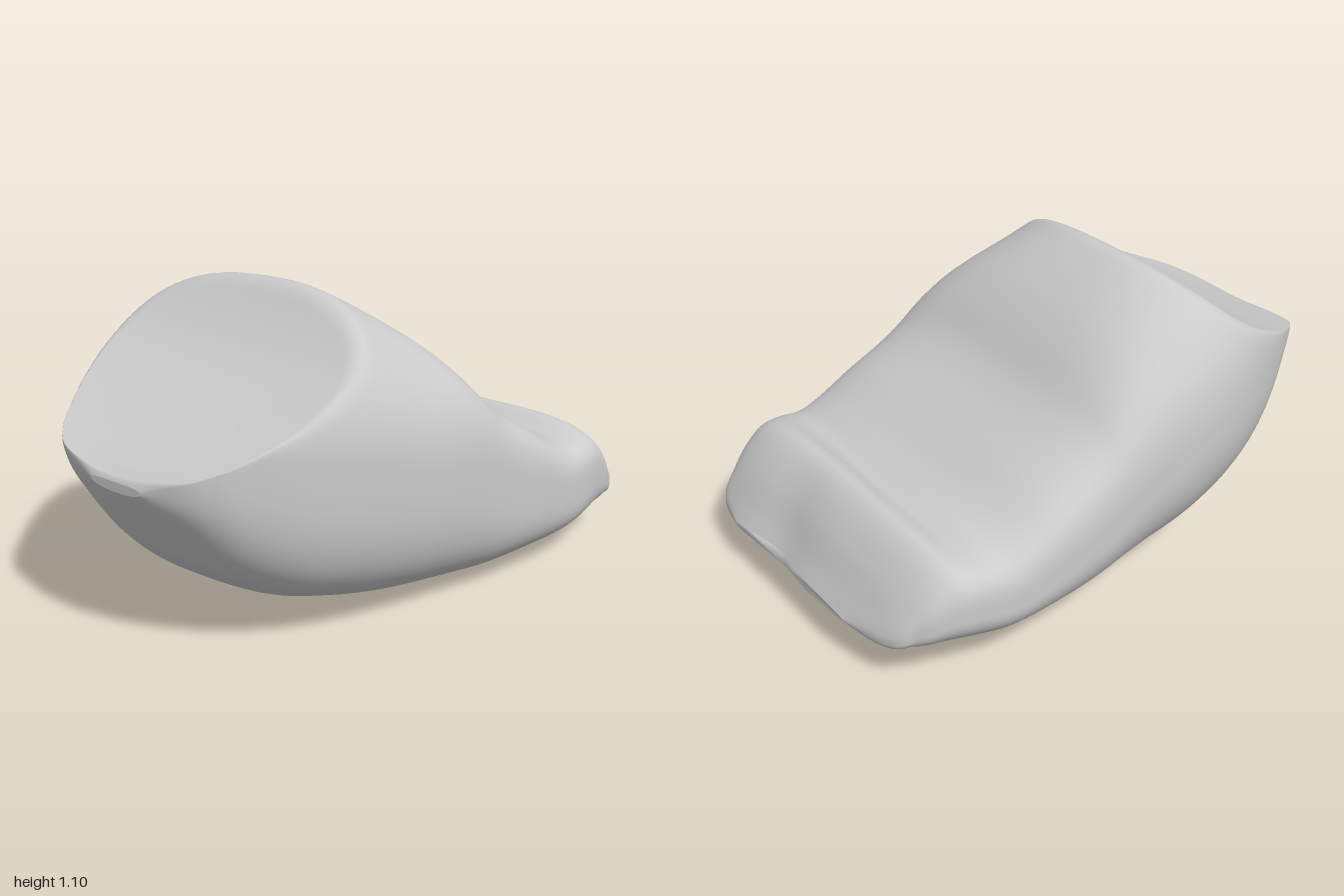
import * as THREE from 'three';

// Cross-sections from back to front: z, bottom, top, smallest x, largest x, squareness
const SECTIONS = [
  [-1.0, 0.15, 0.185, -0.24, 0.46, 2.4],
  [-0.97, 0.12, 0.235, -0.42, 0.58, 2.8],
  [-0.9, 0.09, 0.36, -0.53, 0.63, 3.2],
  [-0.8, 0.065, 0.47, -0.595, 0.655, 3.6],
  [-0.7, 0.045, 0.49, -0.625, 0.67, 3.8],
  [-0.6, 0.03, 0.48, -0.64, 0.668, 4],
  [-0.4, 0.01, 0.6, -0.66, 0.658, 4],
  [-0.2, 0.0, 0.745, -0.665, 0.64, 3.7],
  [-0.1, 0.003, 0.865, -0.67, 0.63, 3.3],
  [0.0, 0.01, 0.965, -0.675, 0.62, 3],
  [0.2, 0.03, 1.105, -0.68, 0.59, 2.6],
  [0.4, 0.075, 1.17, -0.65, 0.55, 2.6],
  [0.6, 0.145, 1.18, -0.575, 0.48, 2.6],
  [0.8, 0.29, 1.14, -0.46, 0.375, 2.5],
  [0.9, 0.42, 1.0, -0.385, 0.305, 2.5],
  [0.96, 0.51, 0.82, -0.3, 0.22, 2.4],
  [1.0, 0.575, 0.63, -0.14, 0.08, 2.2],
];
// Height of the sloping cut face at the front: z, y
const CUT = [[0, 1.4], [0.22, 1.125], [0.4, 0.94], [0.6, 0.815], [0.8, 0.72], [0.95, 0.655], [1, 0.625]];

function spline(rows) {
  const size = rows[0].length - 1;
  const curve = new THREE.CubicInterpolant(
    rows.map((r) => r[0]), rows.flatMap((r) => r.slice(1)), size, new Float32Array(size));
  return (z) => curve.evaluate(z);
}

function softMin(a, b, k) {
  const h = Math.max(k - Math.abs(a - b), 0) / k;
  return Math.min(a, b) - h * h * k * 0.25;
}

const bell = (t, width) => Math.exp(-((t / width) ** 2));
const roundPower = (v, n) => Math.sign(v) * Math.abs(v) ** (2 / n);

// Each corner of a section has its own roundness
function cornerPower(c, s, z, n) {
  if (s < 0) return c < 0 ? 2.2 : Math.min(3.3, n + 0.8);
  return c < 0 ? n : n * (1 - 0.2 * THREE.MathUtils.smoothstep(z, -0.2, 0.2));
}

function buildBody() {
  const RINGS = 180, SIDES = 128;
  const section = spline(SECTIONS), cut = spline(CUT);
  const positions = [], index = [];

  for (let i = 0; i <= RINGS; i++) {
    const z = -Math.cos((Math.PI * i) / RINGS);
    const [bottom, top, xMin, xMax, n] = section(z);
    const cx = (xMin + xMax) / 2, rx = (xMax - xMin) / 2;
    const cy = (bottom + top) / 2, ry = (top - bottom) / 2;
    for (let j = 0; j < SIDES; j++) {
      const a = (2 * Math.PI * j) / SIDES;
      const c = Math.cos(a), s = Math.sin(a), power = cornerPower(c, s, z, n);
      const u = roundPower(c, power), v = roundPower(s, power);
      const x = cx + rx * u;
      let y = cy + ry * v;
      if (v > 0) {
        // Groove in front of the rear roll, and a shallow hollow in the back
        const middle = 1 - Math.abs(u) ** 4;
        y -= v * middle * (0.04 * bell(z + 0.69 - 0.04 * x, 0.06) + 0.015 * bell(z + 0.3, 0.25));
      }
      // Slightly dished cut face with a rounded rim
      if (z > 0.05) y = softMin(y, cut(z) - 0.01 * (1 - u * u), 0.06);
      // Shallow wave in the rear edge
      const wave = 0.025 * bell(x - 0.2, 0.14) * bell(z + 1, 0.2);
      positions.push(x, y, z + wave);
    }
  }

  for (let i = 0; i < RINGS; i++) {
    for (let j = 0; j < SIDES; j++) {
      const a = i * SIDES + j, b = i * SIDES + ((j + 1) % SIDES);
      index.push(a, b, a + SIDES, b, b + SIDES, a + SIDES);
    }
  }

  // Close both ends
  for (const ring of [0, RINGS]) {
    const center = positions.length / 3, start = ring * SIDES;
    const sum = [0, 0, 0];
    for (let k = 0; k < SIDES * 3; k++) sum[k % 3] += positions[start * 3 + k] / SIDES;
    positions.push(...sum);
    for (let j = 0; j < SIDES; j++) {
      const a = start + j, b = start + ((j + 1) % SIDES);
      if (ring === 0) index.push(center, b, a);
      else index.push(center, a, b);
    }
  }

  const geometry = new THREE.BufferGeometry();
  geometry.setAttribute('position', new THREE.Float32BufferAttribute(positions, 3));
  geometry.setIndex(index);
  geometry.computeVertexNormals();
  return geometry;
}

export function createModel() {
  const group = new THREE.Group();
  group.name = 'carvedBlock';
  const body = new THREE.Mesh(buildBody(), new THREE.MeshStandardMaterial({ color: 0xcccccc }));
  body.name = 'body';
  group.add(body);
  return group;
}
